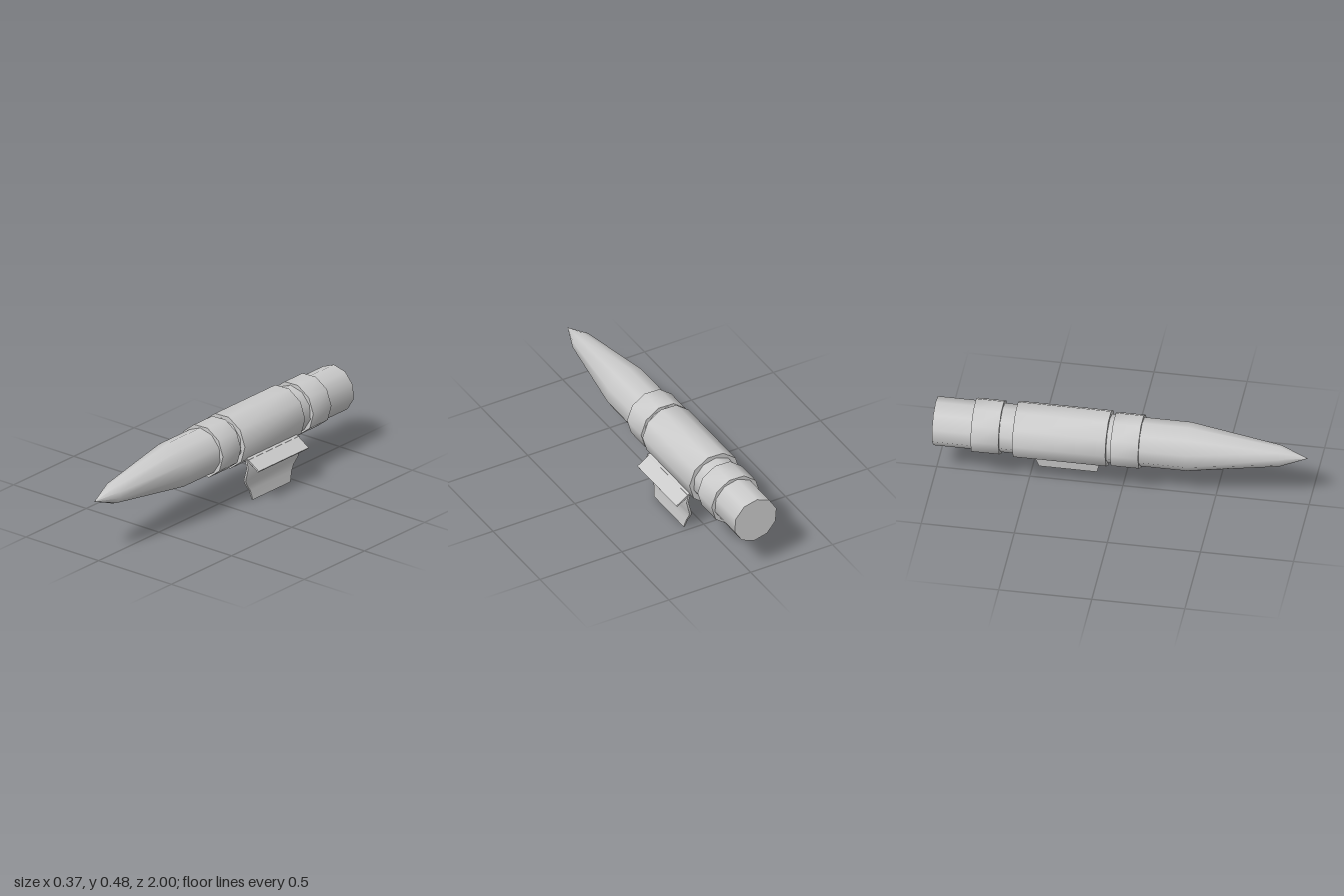
import * as THREE from 'three';
import { toCreasedNormals } from 'three/addons/utils/BufferGeometryUtils.js';

const SIDES = 10;
const AXIS = { x: -0.03, y: 0.331 };
const CREASE = THREE.MathUtils.degToRad(50);
const material = new THREE.MeshStandardMaterial({ color: 0xcccccc });

function addMesh(group, name, geometry) {
  const mesh = new THREE.Mesh(toCreasedNormals(geometry, CREASE), material);
  mesh.name = name;
  group.add(mesh);
  return mesh;
}

// Ten-sided solid around the long axis; profile is [radius, z] from back to front
function turned(profile, startDegrees) {
  const points = profile.map(([r, z]) => new THREE.Vector2(r, z));
  return new THREE.LatheGeometry(points, SIDES, THREE.MathUtils.degToRad(startDegrees))
    .rotateX(Math.PI / 2)
    .translate(AXIS.x, AXIS.y, 0);
}

// Closed loft through rectangles [y, xInner, xOuter, zFront, zBack], top to bottom
function loft(sections) {
  const positions = [];
  const index = [];
  for (const [y, xi, xo, zf, zb] of sections) {
    positions.push(xo, y, zf, xo, y, zb, xi, y, zb, xi, y, zf);
  }
  const last = (sections.length - 1) * 4;
  for (let i = 0; i < last; i += 4) {
    for (let j = 0; j < 4; j++) {
      const a = i + j;
      const b = i + (j + 1) % 4;
      index.push(a, a + 4, b, b, a + 4, b + 4);
    }
  }
  index.push(0, 1, 2, 0, 2, 3, last, last + 2, last + 1, last, last + 3, last + 2);
  const geometry = new THREE.BufferGeometry();
  geometry.setAttribute('position', new THREE.Float32BufferAttribute(positions, 3));
  geometry.setIndex(index);
  geometry.computeVertexNormals();
  return geometry;
}

export function createModel() {
  const model = new THREE.Group();
  model.name = 'pointedTube';

  // Main body with tapered nose and flat back
  addMesh(model, 'body', turned([[0, -1], [0.131, -1], [0.131, 0.36], [0.058, 0.85], [0, 1]], 4));

  // Raised bands, turned half a side against the body
  const bands = [
    ['frontBand', 0.148, -0.04, 0.11],
    ['middleSleeve', 0.154, -0.565, -0.065],
    ['rearBand', 0.148, -0.79, -0.64],
  ];
  for (const [name, r, back, front] of bands) {
    addMesh(model, name, turned([[0, back], [r, back], [r, front], [0, front]], 20));
  }

  // Bent clip hanging beside the sleeve
  addMesh(model, 'clip', loft([
    [0.246, 0.100, 0.112, -0.095, -0.53],
    [0.201, 0.110, 0.122, -0.095, -0.53],
    [0.125, 0.090, 0.104, -0.095, -0.53],
    [0.088, 0.080, 0.095, -0.12, -0.505],
    [0.055, 0.086, 0.097, -0.142, -0.485],
    [0, 0.095, 0.104, -0.155, -0.467],
  ]));

  // Slanted thumb plate at the top of the clip
  const plate = addMesh(model, 'thumbPlate', new THREE.BoxGeometry(0.098, 0.01, 0.415));
  plate.position.set(0.138, 0.222, -0.317);
  plate.rotation.z = THREE.MathUtils.degToRad(-33.5);

  return model;
}
